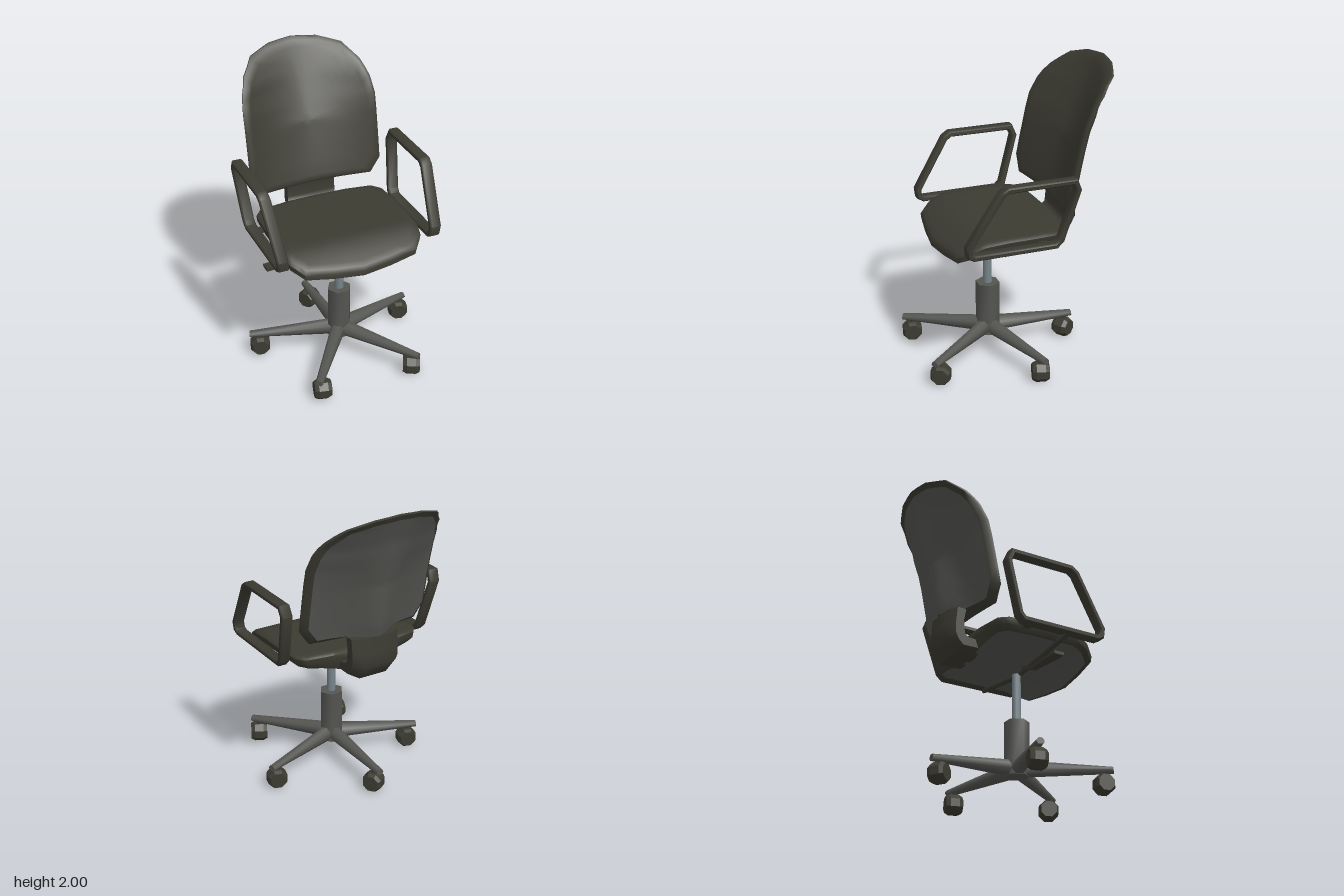
import * as THREE from 'three';
import { toCreasedNormals } from 'three/addons/utils/BufferGeometryUtils.js';

const mat = (name, color) => {
  const m = new THREE.MeshStandardMaterial({ color });
  m.name = name;
  return m;
};

// Piecewise linear lookup in a list of [input, output] pairs
function lookup(table, t) {
  if (t <= table[0][0]) return table[0][1];
  for (let i = 1; i < table.length; i++) {
    const [a, va] = table[i - 1], [b, vb] = table[i];
    if (t <= b) return va + (vb - va) * (t - a) / (b - a);
  }
  return table[table.length - 1][1];
}

// Skin a list of closed rings, all with the same number of points
function loft(rings, crease = 0.7) {
  const n = rings[0].length, index = [];
  for (let k = 0; k < rings.length - 1; k++) {
    for (let j = 0; j < n; j++) {
      const a = k * n + j, a1 = k * n + (j + 1) % n;
      index.push(a, a + n, a1 + n, a, a1 + n, a1);
    }
  }
  const g = new THREE.BufferGeometry();
  g.setAttribute('position', new THREE.Float32BufferAttribute(rings.flat(2), 3));
  g.setIndex(index);
  return toCreasedNormals(g, crease);
}

// Mirror a half outline and split every edge in two
function fullOutline(half) {
  const pts = [...half, ...half.slice(1, -1).reverse().map(([x, y]) => [-x, y])];
  return pts.flatMap(([x, y], i) => {
    const [u, v] = pts[(i + 1) % pts.length];
    return [[x, y], [(x + u) / 2, (y + v) / 2]];
  });
}

// Upholstered pad: cushion with a rim, and a hard shell on its reverse
function pad(half, cy, front, back, rim) {
  const outline = fullOutline(half);
  const ring = (s, height) => outline.map(([px, py]) => {
    const x = px * s, y = cy + (py - cy) * s;
    return [x, y, height(x, y)];
  });
  const N = 12, cushion = [], shell = [];
  for (let i = 0; i <= N; i++) cushion.push(ring(0.96 * i / N, front));
  cushion.push(ring(1, (x, y) => front(x, y) - 0.015));
  cushion.push(ring(0.99, (x, y) => front(x, y) - rim));
  cushion.push(ring(0.92, back));
  for (let i = N; i >= 0; i--) shell.push(ring(0.92 * i / N, back));
  return { cushion: loft(cushion, 0.9), shell: loft(shell, 1.2) };
}

export function createModel() {
  const fabric = mat('dark fabric', 0x3c3b32);
  const plastic = mat('grey plastic', 0x555552);
  const steel = mat('steel', 0x78858a);

  const model = new THREE.Group();
  model.name = 'officeChair';
  const add = (name, geometry, material, x = -0.01, y = 0, z = 0) => {
    const m = new THREE.Mesh(geometry, material);
    m.name = name;
    m.position.set(x, y, z);
    model.add(m);
    return m;
  };

  // Backrest: wraps round the sitter, with a spine swelling low on the shell
  const edgeZ = [[1.1, -0.212], [1.34, -0.255], [1.62, -0.312], [1.78, -0.39], [1.9, -0.505], [2, -0.635]];
  const midZ = [[1.1, -0.26], [1.2, -0.29], [1.5, -0.39], [2, -0.635]];
  const halfWidth = [[1.64, 0.465], [1.745, 0.45], [1.845, 0.41], [1.94, 0.32], [1.985, 0.17], [2, 0.1]];
  const thickness = [[1.1, 0.06], [1.7, 0.05], [2, 0.03]];
  const backFront = (x, y) => {
    const t = Math.min(1, Math.abs(x) / lookup(halfWidth, y)) ** 1.6;
    return lookup(midZ, y) * (1 - t) + lookup(edgeZ, y) * t;
  };
  const spine = (x, y) => 0.115 * Math.exp(-((x / 0.13) ** 2)) * THREE.MathUtils.clamp((1.8 - y) / 0.6, 0, 1);
  const backrest = pad(
    [[0, 1.1], [0.2, 1.1], [0.395, 1.1], [0.465, 1.2], [0.465, 1.42], [0.465, 1.64],
      [0.45, 1.745], [0.41, 1.845], [0.32, 1.94], [0.17, 1.985], [0, 2]],
    1.5, backFront, (x, y) => backFront(x, y) - lookup(thickness, y) - spine(x, y), 0.035);
  add('backrestCushion', backrest.cushion, fabric);
  add('backrestShell', backrest.shell, plastic);

  // Seat: modelled facing +z with y standing for -z, then laid flat
  const seatTop = (x, v) => 1.0 - 0.12 * Math.max(0, (-v - 0.28) / 0.25) ** 1.4;
  const keel = (x, v) => 0.085 * Math.exp(-((x / 0.26) ** 2)) * THREE.MathUtils.smoothstep(v, -0.33, -0.24);
  const seat = pad(
    [[0, -0.53], [0.2, -0.51], [0.385, -0.48], [0.455, -0.4], [0.47, -0.32], [0.468, 0],
      [0.458, 0.18], [0.41, 0.24], [0.22, 0.268], [0, 0.275]],
    -0.1, seatTop, (x, v) => seatTop(x, v) - 0.08 - keel(x, v), 0.055);
  add('seatCushion', seat.cushion.rotateX(-Math.PI / 2), fabric);
  add('seatShell', seat.shell.rotateX(-Math.PI / 2), plastic);

  // Bracket joining seat and backrest: [outer z, y, inner z, y]
  const bracket = [[-0.22, 0.89, -0.22, 0.89], [-0.22, 0.838, -0.22, 0.93], [-0.375, 0.835, -0.31, 0.935],
    [-0.412, 0.88, -0.335, 0.95], [-0.445, 0.935, -0.34, 0.98], [-0.44, 1.02, -0.345, 1.05],
    [-0.432, 1.13, -0.33, 1.13]];
  add('backBracket', loft(bracket.map(([oz, oy, iz, iy], i) =>
    [[0.1, 0], [0.172, 0.4], [0.172, 1], [-0.172, 1], [-0.172, 0.4], [-0.1, 0]]
      .map(([x, t]) => [i ? x : 0, oy + (iy - oy) * t, oz + (iz - oz) * t])), 0.9), fabric);

  // Armrests: flat closed loops leaning outwards; points are [-z, y]
  const loop = [[-0.455, 1.02], [-0.45, 0.97], [-0.42, 0.953], [0.12, 0.953], [0.153, 0.985],
    [0.25, 1.32], [0.225, 1.381], [-0.21, 1.381], [-0.25, 1.355]].map(p => new THREE.Vector2(...p));
  const offset = d => loop.map((p, i) => {
    const a = loop[(i + loop.length - 1) % loop.length], b = loop[(i + 1) % loop.length];
    const u = p.clone().sub(a).normalize(), w = b.clone().sub(p).normalize();
    const n = new THREE.Vector2(u.y + w.y, -u.x - w.x).normalize();
    return p.clone().addScaledVector(n, d / (n.x * u.y - n.y * u.x));
  });
  for (const side of [-1, 1]) {
    const shape = new THREE.Shape(offset(0.01));
    shape.holes.push(new THREE.Path(offset(-0.01)));
    const g = new THREE.ExtrudeGeometry(shape, {
      depth: 0.055, bevelEnabled: true, bevelThickness: 0.01, bevelSize: 0.008, bevelSegments: 1,
    });
    g.translate(0, 0, -0.0275).rotateY(Math.PI / 2);
    const p = g.attributes.position;
    for (let i = 0; i < p.count; i++) {
      p.setX(i, p.getX(i) + side * (0.52 + (p.getY(i) - 0.94) * 0.085));
    }
    add(side > 0 ? 'leftArmrest' : 'rightArmrest', toCreasedNormals(g, 0.8), fabric);

    // Strut running from the armrest to the column, and a short rear mount
    const strut = new THREE.LineCurve3(
      new THREE.Vector3(side * 0.53, 0.932, 0.2), new THREE.Vector3(side * 0.04, 0.835, 0.15));
    add('armrestStrut', new THREE.TubeGeometry(strut, 1, 0.018, 8), fabric);
    add('rearArmrestMount', new THREE.BoxGeometry(0.12, 0.02, 0.05), fabric, -0.01 + side * 0.47, 0.95, -0.06);
  }

  // Height lever: thin bent paddle, listed as [x, y, half width]
  const lever = [[-0.09, 0.86, 0.015], [-0.22, 0.805, 0.02], [-0.4, 0.797, 0.035], [-0.535, 0.79, 0.035]];
  const leverRings = lever.map(([x, y, w]) =>
    [[-w, 0.01], [w, 0.01], [w, -0.01], [-w, -0.01]].map(([z, h]) => [x, y + h, 0.14 + z]));
  leverRings.push(leverRings[3].map(() => [-0.535, 0.79, 0.14]));
  add('heightLever', loft(leverRings, 0.5), fabric, 0);

  // Gas column and hexagonal sleeve
  const cx = -0.015, cz = 0.14;
  add('gasColumn', new THREE.CylinderGeometry(0.029, 0.029, 0.4, 12), steel, cx, 0.67, cz);
  const sleeve = new THREE.CylinderGeometry(0.082, 0.082, 0.37, 6).rotateY(Math.PI / 6);
  add('columnSleeve', toCreasedNormals(sleeve, 1.1), plastic, cx, 0.317, cz);

  // Five tapering, rounded legs with casters
  const legSection = [[0.5, 0], [1, 0.35], [0.85, 0.7], [0.35, 1], [-0.35, 1], [-0.85, 0.7], [-1, 0.35], [-0.5, 0]];
  const legRing = (w, top, z) => legSection.map(([x, t]) => [x * w, 0.135 + (top - 0.135) * t, z]);
  const legGeometry = loft([legRing(0.052, 0.24, 0), legRing(0.026, 0.175, -0.61),
    legSection.map(() => [0, 0.155, -0.61])], 1.2);
  const wheelProfile = [[0, -0.056], [0.056, -0.056], [0.07, -0.03], [0.07, 0.03], [0.056, 0.056], [0, 0.056]];
  const wheelGeometry = toCreasedNormals(
    new THREE.LatheGeometry(wheelProfile.map(p => new THREE.Vector2(...p)), 8)
      .rotateY(Math.PI / 8).rotateZ(Math.PI / 2), 0.3);
  [0.6, 1.3, -0.22, -0.47, 1.3].forEach((yaw, i) => {
    const a = i * Math.PI * 2 / 5;
    add('baseLeg', legGeometry, plastic, cx, 0, cz).rotation.y = a;
    const x = cx + 0.01 - 0.55 * Math.sin(a), z = cz - 0.55 * Math.cos(a);
    add('caster', wheelGeometry, fabric, x, 0.066, z).rotation.y = yaw;
    add('casterStem', new THREE.CylinderGeometry(0.015, 0.015, 0.05, 8), fabric, x, 0.13, z);
  });

  return model;
}
